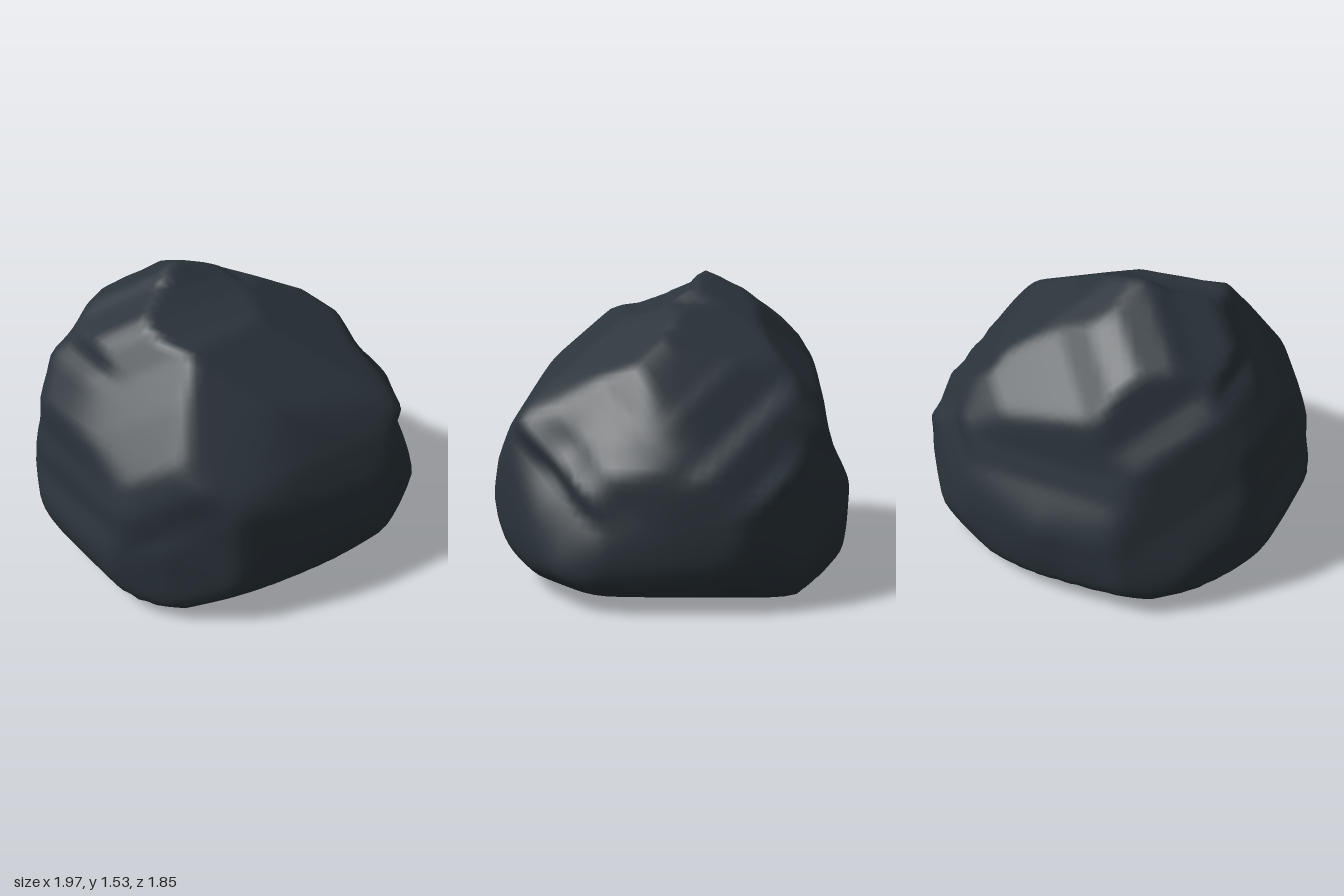
import * as THREE from 'three';
import { mergeVertices } from 'three/addons/utils/BufferGeometryUtils.js';

// Outlines the stone is carved by, as [u, v] points around each one
const FRONT = [
  [-0.63, 0], [-0.8, 0.05], [-0.91, 0.1], [-0.98, 0.24], [-1, 0.34], [-0.94, 0.47], [-0.94, 0.6],
  [-0.91, 0.72], [-0.91, 0.88], [-0.78, 1.08], [-0.7, 1.14], [-0.69, 1.3], [-0.58, 1.37], [-0.26, 1.53],
  [-0.14, 1.55], [0.02, 1.5], [0.11, 1.39], [0.3, 1.36], [0.38, 1.29], [0.55, 1.27], [0.62, 1.16],
  [0.71, 1.07], [0.85, 0.8], [0.94, 0.73], [0.96, 0.6], [1, 0.35], [1, 0.24], [0.93, 0.09], [0.65, 0],
];
const SIDE = [
  [0.53, 0], [0.77, 0.08], [0.83, 0.13], [0.92, 0.32], [0.945, 0.42], [0.9, 0.62], [0.82, 0.81],
  [0.69, 1.02], [0.6, 1.19], [0.56, 1.23], [0.32, 1.32], [0.2, 1.33], [0.06, 1.38], [-0.1, 1.47],
  [-0.12, 1.52], [-0.2, 1.55], [-0.36, 1.5], [-0.56, 1.41], [-0.67, 1.25], [-0.74, 1.18], [-0.78, 0.8],
  [-0.82, 0.66], [-0.93, 0.45], [-0.94, 0.41], [-0.92, 0.27], [-0.88, 0.11], [-0.77, 0.04], [-0.64, 0],
];
const TOP = [
  [1, 0], [0.98, 0.34], [0.9, 0.56], [0.74, 0.69], [0.56, 0.8], [0.39, 0.9], [0.28, 0.94], [0, 0.92],
  [-0.22, 0.89], [-0.54, 0.82], [-0.79, 0.6], [-0.97, 0.35], [-1, 0], [-1, -0.26], [-0.91, -0.47],
  [-0.72, -0.7], [-0.43, -0.9], [-0.1, -0.92], [0.01, -0.945], [0.2, -0.91], [0.47, -0.86],
  [0.75, -0.69], [0.92, -0.48], [0.98, -0.32],
];
const FRONT_CORNER = [
  [-0.05, 0.79], [0.15, 0.76], [0.27, 0.69], [0.39, 0.57], [0.73, 0.32], [0.9, 0.13], [0.9, 0.03],
  [1, -0.22], [1.01, -0.55], [0.89, -0.73], [0.64, -0.98], [0.36, -1.04], [-0.06, -1.04], [-0.45, -0.93],
  [-0.85, -0.75], [-1.01, -0.55], [-1.01, -0.25], [-0.96, -0.15], [-0.97, -0.01], [-0.89, 0.15],
  [-0.7, 0.36], [-0.54, 0.52], [-0.43, 0.66], [-0.36, 0.71], [-0.17, 0.75],
];
const BACK_CORNER = [
  [-0.33, 0.6], [0.18, 0.57], [0.46, 0.46], [0.57, 0.43], [0.96, 0.03], [0.96, -0.2], [1.01, -0.38],
  [1, -0.66], [0.96, -0.75], [0.55, -0.97], [0.07, -1.06], [-0.17, -1.06], [-0.68, -0.89], [-0.83, -0.75],
  [-1.01, -0.47], [-0.98, -0.07], [-1, -0.03], [-0.9, 0.03], [-0.81, 0.18], [-0.71, 0.23],
  [-0.58, 0.39], [-0.52, 0.43],
];
const LOW_CORNER = [
  [-0.36, 0.57], [-0.11, 0.62], [0.11, 0.66], [0.41, 0.66], [0.52, 0.64], [0.66, 0.55], [0.76, 0.28],
  [0.87, 0.15], [0.93, -0.2], [1.01, -0.45], [0.97, -0.65], [0.83, -0.82], [0.48, -1.05], [0.29, -1.09],
  [0.04, -1.08], [-0.66, -0.83], [-0.9, -0.69], [-1.04, -0.39], [-0.92, -0.08], [-0.95, -0.01],
  [-0.85, 0.15], [-0.66, 0.31], [-0.55, 0.47],
];

// Each cut: outline, its u and v axes, and the v of the ground centre
const vec = (x, y, z) => new THREE.Vector3(x, y, z);
const H = Math.SQRT1_2, T = H / 2, C = Math.sqrt(3) / 2;
const CUTS = [
  [FRONT, vec(1, 0, 0), vec(0, 1, 0), 0],
  [SIDE, vec(0, 0, 1), vec(0, 1, 0), 0],
  [TOP, vec(1, 0, 0), vec(0, 0, 1), 0],
  [FRONT_CORNER, vec(H, 0, -H), vec(-T, C, -T), -0.67],
  [BACK_CORNER, vec(-H, 0, H), vec(T, C, T), -0.67],
  [LOW_CORNER, vec(-H, 0, -H), vec(T, C, -T), -0.67],
];

// Hollows: [x, y, z, radius, depth]
const DENTS = [
  [0.72, 0.74, 0.5, 0.2, 0.06],
  [0.9, 0.5, 0.28, 0.14, 0.03],
];
const CORE = vec(0, 0.6, 0);

// Distance from the core to an outline along a direction
function reach([outline, uAxis, vAxis, base], direction) {
  const u = CORE.dot(uAxis), v = CORE.dot(vAxis) + base;
  const du = direction.dot(uAxis), dv = direction.dot(vAxis);
  let nearest = Infinity;
  outline.forEach(([au, av], i) => {
    const [bu, bv] = outline[(i + 1) % outline.length];
    const eu = bu - au, ev = bv - av;
    const det = du * ev - dv * eu;
    if (Math.abs(det) < 1e-9) return;
    const t = ((au - u) * ev - (av - v) * eu) / det;
    const s = ((au - u) * dv - (av - v) * du) / det;
    if (t > 0 && s >= -1e-6 && s <= 1 + 1e-6) nearest = Math.min(nearest, t);
  });
  return nearest;
}

// Blend the cuts with soft edges on the flanks, crisper at the base and peak
function surfacePoint(direction) {
  const reaches = CUTS.map((cut) => reach(cut, direction));
  const least = Math.min(...reaches);
  const k = 40 + 300 * direction.y ** 4;
  const sum = reaches.reduce((total, t) => total + (least / t) ** k, 0);
  const p = CORE.clone().addScaledVector(direction, least * sum ** (-1 / k));
  for (const [x, y, z, radius, depth] of DENTS) {
    const d2 = p.distanceToSquared(vec(x, y, z));
    p.addScaledVector(direction, -depth * Math.exp(-d2 / radius ** 2));
  }
  return p;
}

function boulderGeometry() {
  const ball = new THREE.IcosahedronGeometry(1, 24);
  ball.deleteAttribute('normal');
  ball.deleteAttribute('uv');
  const geometry = mergeVertices(ball, 1e-4);
  const position = geometry.attributes.position;
  for (let i = 0; i < position.count; i++) {
    const p = surfacePoint(vec(0, 0, 0).fromBufferAttribute(position, i).normalize());
    position.setXYZ(i, p.x, p.y, p.z);
  }
  geometry.computeVertexNormals();
  return geometry;
}

export function createModel() {
  const group = new THREE.Group();
  group.name = 'rock';
  const stone = new THREE.MeshStandardMaterial({ color: 0x2b343b });
  stone.name = 'dark slate stone';
  const boulder = new THREE.Mesh(boulderGeometry(), stone);
  boulder.name = 'boulder';
  group.add(boulder);
  return group;
}
